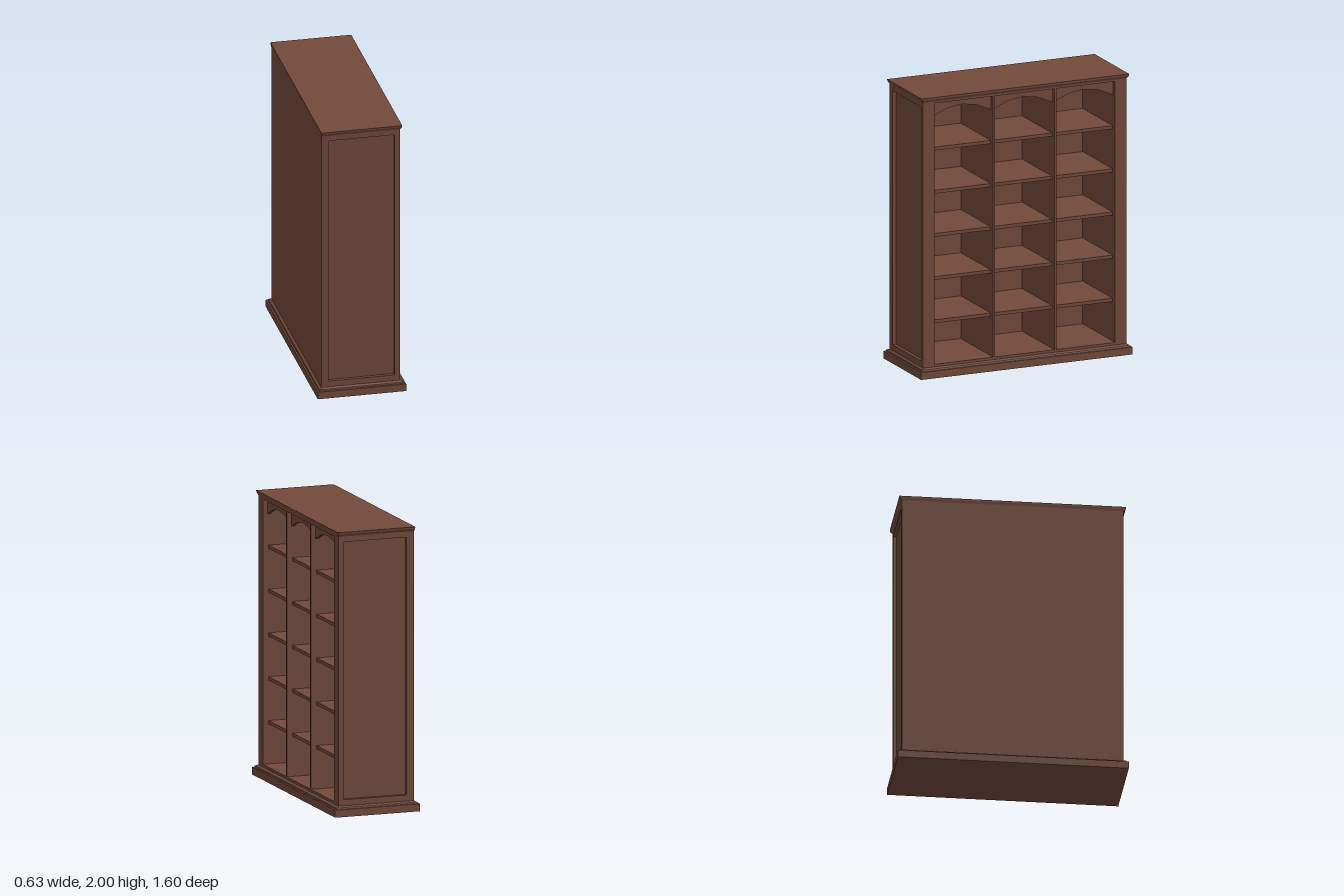
import * as THREE from 'three';

// Main dimensions: the shelves open toward +x
const BACK = -0.28, FRONT = 0.277, END = 0.77, WALL = 0.686, PANEL = 0.745;
const FLOOR = 0.09, CEIL = 1.955, TOP = 1.967;

export function createModel() {
  const group = new THREE.Group();
  const wood = new THREE.MeshStandardMaterial({ color: 0x734b3b });
  wood.name = 'brownWood';

  const add = (name, geometry) => {
    const mesh = new THREE.Mesh(geometry, wood);
    mesh.name = name;
    group.add(mesh);
    return mesh;
  };
  // Box given by its limits on each axis
  const box = (name, x0, x1, y0, y1, z0, z1) =>
    add(name, new THREE.BoxGeometry(x1 - x0, y1 - y0, z1 - z0)
      .translate((x0 + x1) / 2, (y0 + y1) / 2, (z0 + z1) / 2));

  // Moulding lofted through rectangular rings [y, x0, x1, halfZ], bottom to top
  const moulding = (name, rings) => {
    const pos = [];
    const corners = rings.map(([y, x0, x1, z]) =>
      [[x0, y, z], [x1, y, z], [x1, y, -z], [x0, y, -z]]);
    const quad = (a, b, c, d) => pos.push(...a, ...b, ...c, ...a, ...c, ...d);
    for (let i = 0; i < corners.length - 1; i++) {
      for (let j = 0; j < 4; j++) {
        const k = (j + 1) % 4;
        quad(corners[i][j], corners[i][k], corners[i + 1][k], corners[i + 1][j]);
      }
    }
    quad(...corners[corners.length - 1]);
    quad(...corners[0].slice().reverse());
    const g = new THREE.BufferGeometry();
    g.setAttribute('position', new THREE.Float32BufferAttribute(pos, 3));
    g.computeVertexNormals();
    add(name, g);
  };

  // Plinth and cornice
  moulding('plinth', [
    [0, -0.313, 0.313, 0.802], [0.052, -0.313, 0.313, 0.802],
    [0.054, -0.302, 0.302, 0.79], [0.063, -0.298, 0.298, 0.787],
    [0.072, BACK, 0.28, 0.772],
  ]);
  moulding('cornice', [
    [TOP, BACK, FRONT, END], [1.976, BACK - 0.001, 0.281, 0.776],
    [1.986, BACK - 0.003, 0.287, 0.784], [2, BACK - 0.004, 0.288, 0.787],
  ]);

  // Carcass
  box('backPanel', BACK, -0.26, 0.06, TOP, -WALL, WALL);
  box('floorBoard', -0.26, FRONT, 0.06, FLOOR, -WALL, WALL);
  box('topRail', -0.26, FRONT, CEIL, TOP, -WALL, WALL);

  // Ends: a solid wall with a raised frame round a sunken panel
  for (const s of [1, -1]) {
    const name = s > 0 ? 'left' : 'right';
    box(name + 'EndWall', BACK, FRONT, 0.06, TOP, Math.min(s * WALL, s * PANEL), Math.max(s * WALL, s * PANEL));
    const frame = new THREE.Shape([
      [BACK, 0.06], [FRONT, 0.06], [FRONT, TOP], [BACK, TOP],
    ].map(p => new THREE.Vector2(...p)));
    frame.holes.push(new THREE.Path([
      [-0.227, 0.115], [-0.227, 1.928], [0.238, 1.928], [0.238, 0.115],
    ].map(p => new THREE.Vector2(...p))));
    const g = new THREE.ExtrudeGeometry(frame, { depth: END - PANEL, bevelEnabled: false });
    add(name + 'EndFrame', g.translate(0, 0, s > 0 ? PANEL : -END));
  }

  // Dividers
  for (const z of [-0.232, 0.232]) box('divider', -0.26, FRONT, FLOOR, CEIL, z - 0.007, z + 0.007);

  // Three bays, each with five shelves and an arched valance
  for (const [z0, z1] of [[-WALL, -0.239], [-0.225, 0.225], [0.239, WALL]]) {
    for (let i = 0; i < 5; i++) {
      const y = 0.395 + i * 0.3085;
      box('shelf', -0.26, 0.235, y - 0.024, y, z0, z1);
    }
    const w = (z1 - z0) / 2;
    const arch = new THREE.Shape([
      [-w, CEIL], [-w, 1.85], [-w / 2, 1.899], [0, 1.916], [w / 2, 1.899], [w, 1.85], [w, CEIL],
    ].map(p => new THREE.Vector2(...p)));
    const g = new THREE.ExtrudeGeometry(arch, { depth: 0.02, bevelEnabled: false });
    add('archedValance', g.rotateY(Math.PI / 2).translate(0.222, 0, (z0 + z1) / 2));
  }
  return group;
}
